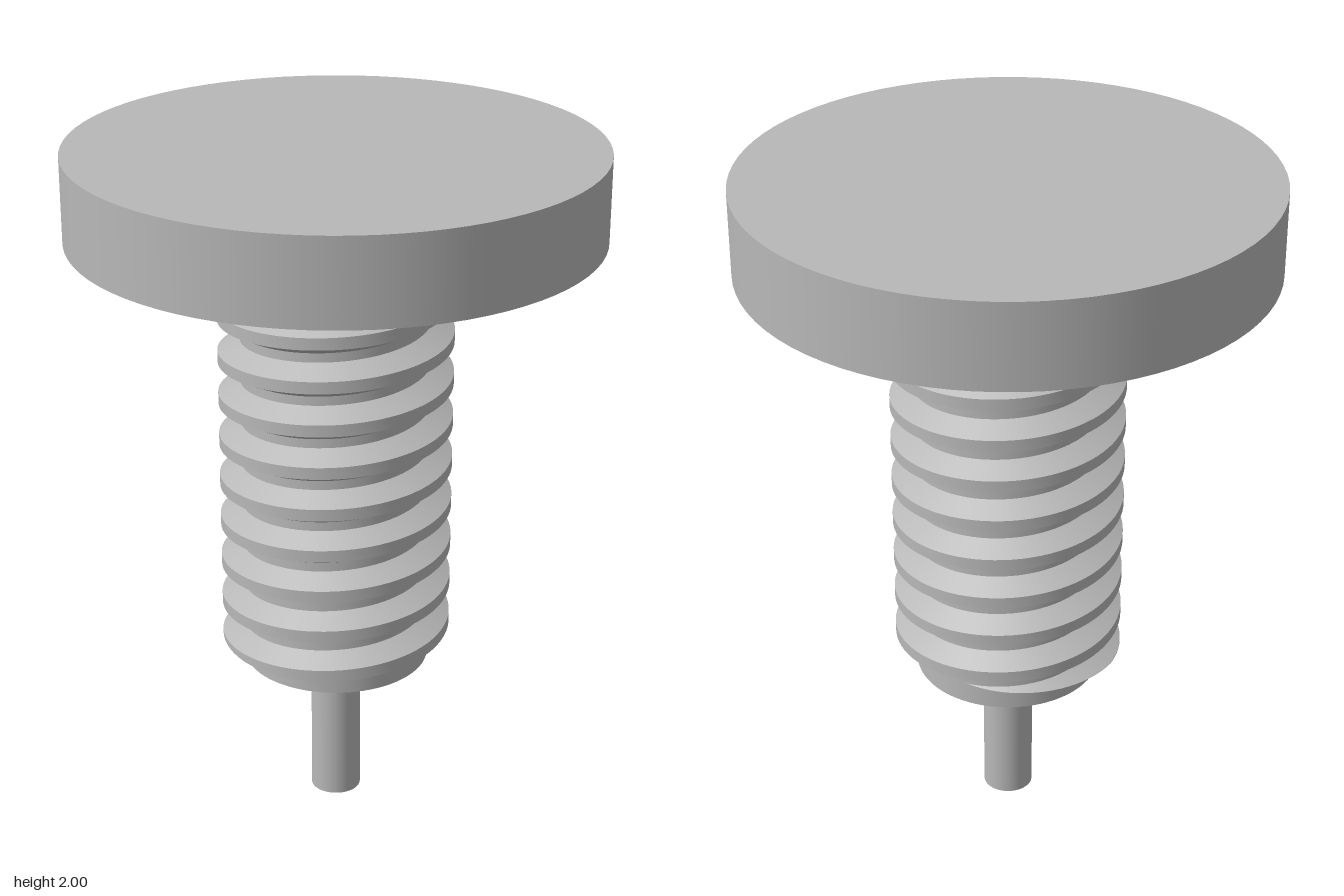
import * as THREE from 'three';

const CORE = 0.27, CREST = 0.333;        // thread root and crest radii
const PITCH = 0.126, FIRST = 0.58;       // rise per turn, first crest height at +x
const LOW = 0.525, HIGH = 1.69;          // the thread is cut flat at these heights
const HALF_CREST = 0.0175, HALF_ROOT = 0.0495;

// Radius of the tooth at a height offset from its centre line
function toothRadius(d) {
  const t = (HALF_ROOT - Math.abs(d)) / (HALF_ROOT - HALF_CREST);
  return CORE + (CREST - CORE) * THREE.MathUtils.clamp(t, 0, 1);
}

// Trapezoid cross-section at one turning angle, trimmed by the end planes
function toothSection(angle) {
  const centre = FIRST + PITCH * (angle / (2 * Math.PI) - 0.25);
  const pts = [-HALF_ROOT, -HALF_CREST, HALF_CREST, HALF_ROOT].map((d) => {
    const y = THREE.MathUtils.clamp(centre + d, LOW, HIGH);
    return [toothRadius(y - centre), y];
  });
  const inner = CORE - 0.002;
  return [[inner, pts[0][1]], ...pts, [inner, pts[3][1]]];
}

// Right-handed helical ridge; each face strip has its own vertices for crisp edges
function threadGeometry() {
  const perTurn = 80, turns = 11, steps = perTurn * turns;
  const pos = [], index = [];
  for (let band = 0; band < 5; band++) {
    const base = pos.length / 3;
    for (let i = 0; i <= steps; i++) {
      const a = (i / perTurn - 1) * 2 * Math.PI;
      const section = toothSection(a);
      for (const [r, y] of [section[band], section[band + 1]]) {
        pos.push(r * Math.sin(a), y, r * Math.cos(a));
      }
      if (i < steps) {
        const k = base + 2 * i;
        index.push(k, k + 2, k + 1, k + 1, k + 2, k + 3);
      }
    }
  }
  const g = new THREE.BufferGeometry();
  g.setAttribute('position', new THREE.Float32BufferAttribute(pos, 3));
  g.setIndex(index);
  g.computeVertexNormals();
  return g;
}

export function createModel() {
  const group = new THREE.Group();
  group.name = 'thumbScrew';
  const steel = new THREE.MeshStandardMaterial({ color: 0xb8b8b8 });
  steel.name = 'grey steel';

  const add = (name, geometry, y = 0) => {
    const mesh = new THREE.Mesh(geometry, steel);
    mesh.name = name;
    mesh.position.y = y;
    group.add(mesh);
  };
  const cylinder = (name, r, y0, y1) =>
    add(name, new THREE.CylinderGeometry(r, r, y1 - y0, 80), (y0 + y1) / 2);

  cylinder('head', 0.748, 1.755, 2);
  cylinder('shank', CORE, 0.46, 1.755);
  add('thread', threadGeometry());

  // Slim tip with a rounded fillet into the shank
  cylinder('tipPin', 0.073, 0, 0.37);
  const fillet = [];
  for (let i = 0; i <= 12; i++) {
    const a = (i / 12) * Math.PI / 2;
    fillet.push(new THREE.Vector2(0.163 - 0.09 * Math.cos(a), 0.37 + 0.09 * Math.sin(a)));
  }
  add('tipFillet', new THREE.LatheGeometry(fillet, 80));

  return group;
}
